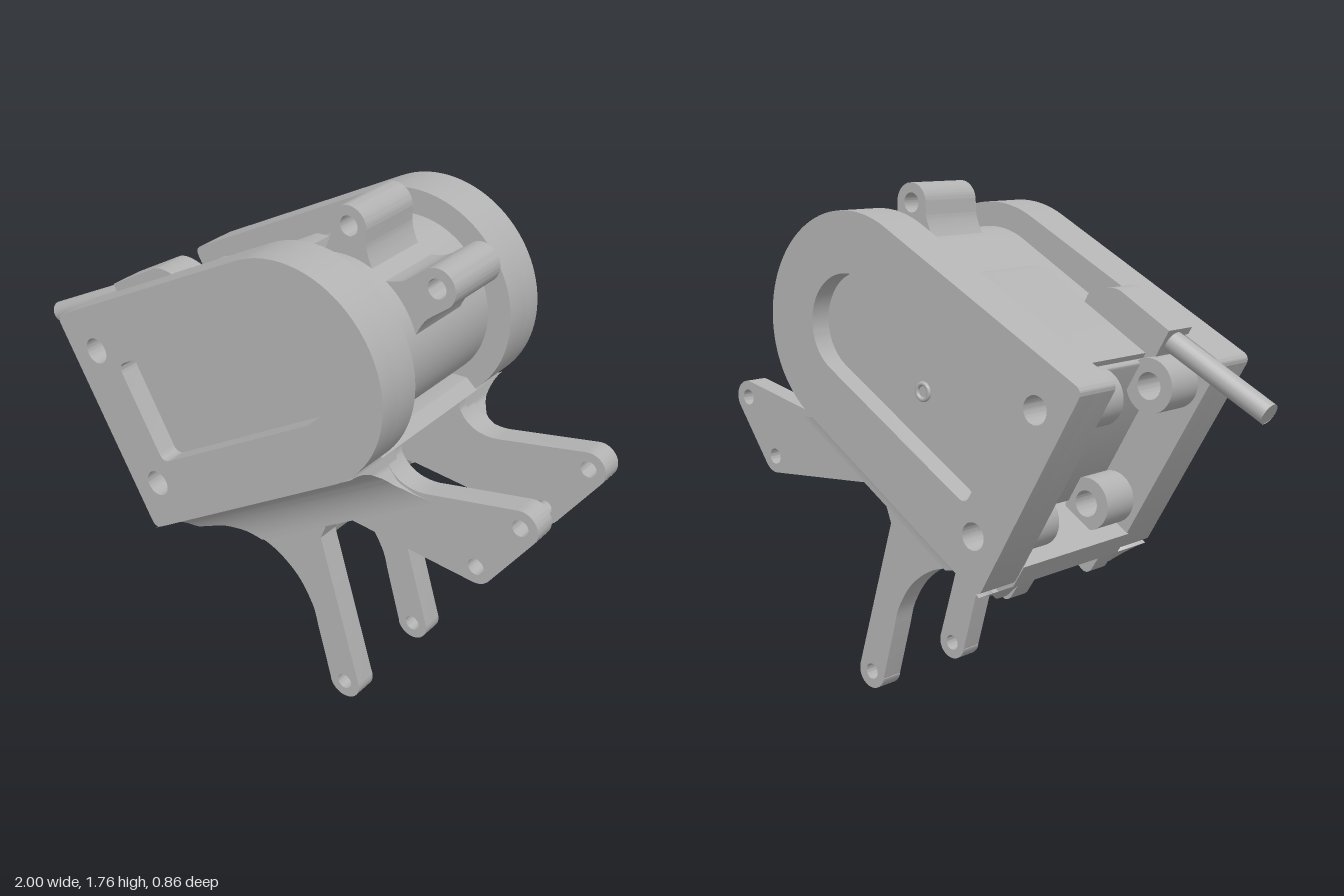
import * as THREE from 'three';
import { toCreasedNormals } from 'three/addons/utils/BufferGeometryUtils.js';

const grey = new THREE.MeshStandardMaterial({ color: 0xb4b4b4, side: THREE.DoubleSide });
grey.name = 'metal grey';

const hole = (x, y, r) => new THREE.Path().absarc(x, y, r, 0, Math.PI * 2, true);
const poly = (pts) => new THREE.Shape(pts.map(([x, y]) => new THREE.Vector2(x, y)));

function add(parent, name, geometry) {
  const mesh = new THREE.Mesh(geometry, grey);
  mesh.name = name;
  parent.add(mesh);
  return mesh;
}

// Extrude a shape between two z values
function slab(parent, name, shape, z0, z1) {
  const g = new THREE.ExtrudeGeometry(shape, { depth: z1 - z0, bevelEnabled: false, curveSegments: 24 });
  g.translate(0, 0, z0);
  return add(parent, name, toCreasedNormals(g, 0.5));
}

// Outline with one round end at the origin and a slightly wider square end
function dShape(end, half, r, corner, Type = THREE.Shape) {
  const a = Math.PI / 2 - Math.asin((half - r) / -end);
  const s = new Type();
  s.moveTo(end + corner, -half);
  s.absarc(0, 0, r, -a, a, false);
  s.lineTo(end + corner, half);
  s.quadraticCurveTo(end, half, end, half - corner);
  s.lineTo(end, -half + corner);
  s.quadraticCurveTo(end, -half, end + corner, -half);
  return s;
}

const BOLTS = [[-0.775, 0.246], [-0.775, -0.246]];

function buildBody(body) {
  // Side housings: floor plate plus a frame around the pocket
  for (const side of [1, -1]) {
    const name = side > 0 ? 'frontHousing' : 'backHousing';
    const floor = dShape(-0.89, 0.4, 0.37, 0.03);
    const frame = dShape(-0.89, 0.4, 0.37, 0.03);
    for (const [u, v] of BOLTS) {
      floor.holes.push(hole(u, v, 0.045));
      frame.holes.push(hole(u, v, 0.045));
    }
    frame.holes.push(dShape(-0.7, 0.18, 0.17, 0.035, THREE.Path));
    const z = (a, b) => (side > 0 ? [a, b] : [-b, -a]);
    slab(body, name + 'Floor', floor, ...z(0.267, 0.36));
    slab(body, name + 'Frame', frame, ...z(0.36, 0.432));

    // Bolt bosses between the housings
    for (const [u, v] of BOLTS) {
      const boss = new THREE.Shape().absarc(u, v, 0.09, 0, Math.PI * 2, false);
      boss.holes.push(hole(u, v, 0.045));
      slab(body, 'boltBoss', boss, ...z(0.125, 0.27));
    }
  }

  // Core between the housings, with a raised step on top
  slab(body, 'core', dShape(-0.71, 0.29, 0.285, 0.01), -0.27, 0.27);
  slab(body, 'coreStep', poly([[-0.69, 0.2], [-0.69, 0.31], [-0.2, 0.31], [-0.16, 0.29], [-0.16, 0.2]]), -0.165, 0.165);

  // Small ring in the rear pocket
  const ring = add(body, 'pocketScrew', new THREE.TorusGeometry(0.026, 0.008, 8, 16));
  ring.position.set(-0.33, -0.03, -0.362);

  // Lugs on the round end
  for (const [angle, dist] of [[58, 0.382], [8.3, 0.43]]) {
    const lug = new THREE.Shape();
    lug.moveTo(0.24, -0.11);
    lug.quadraticCurveTo(0.31, -0.066, 0.35, -0.066);
    lug.lineTo(dist, -0.066);
    lug.absarc(dist, 0, 0.066, -Math.PI / 2, Math.PI / 2, false);
    lug.lineTo(0.35, 0.066);
    lug.quadraticCurveTo(0.31, 0.066, 0.24, 0.11);
    lug.holes.push(hole(dist, 0, 0.033));
    slab(body, 'lug', lug, -0.122, 0.122).rotation.z = THREE.MathUtils.degToRad(angle);
  }

  // Cable with its clamp
  const clamp = new THREE.Shape();
  clamp.moveTo(-0.728, 0.2);
  clamp.lineTo(-0.728, 0.423);
  clamp.lineTo(-0.51, 0.423);
  clamp.quadraticCurveTo(-0.46, 0.423, -0.4, 0.34);
  clamp.lineTo(-0.4, 0.2);
  slab(body, 'cableClamp', clamp, 0.16, 0.285);
  const cable = new THREE.LineCurve3(new THREE.Vector3(-1.137, 0.392, 0.218), new THREE.Vector3(-0.68, 0.372, 0.218));
  add(body, 'cable', new THREE.TubeGeometry(cable, 1, 0.037, 20));
  const tip = add(body, 'cableEnd', new THREE.CircleGeometry(0.037, 20));
  tip.position.copy(cable.v1);
  tip.rotation.y = -Math.PI / 2;
}

// Bracket frame: s runs along the underside of the body, d away from it
const START = [-0.375, 0.52], E = [0.848, 0.53], N = [0.53, -0.848];
const onLine = (s, d) => [START[0] + s * E[0] + d * N[0], START[1] + s * E[1] + d * N[1]];

function armShape() {
  const s = new THREE.Shape();
  s.moveTo(...onLine(0, -0.03));
  s.lineTo(-0.345, 0.475);
  s.quadraticCurveTo(-0.32, 0.445, -0.285, 0.485);
  s.splineThru([[-0.2, 0.513], [-0.12, 0.52], [0, 0.493], [0.1, 0.425], [0.165, 0.33], [0.19, 0.25]]
    .map((p) => new THREE.Vector2(...p)));
  s.lineTo(0.247, 0.048);
  s.absarc(0.305, 0.062, 0.061, Math.PI * 1.08, Math.PI * 2.08, false);
  s.lineTo(0.2, 0.62);
  s.lineTo(0.235, 0.71);
  s.quadraticCurveTo(0.25, 0.748, 0.29, 0.745);
  s.lineTo(0.79, 0.705);
  s.quadraticCurveTo(0.825, 0.703, 0.848, 0.735);
  s.lineTo(0.989, 0.931);
  s.absarc(0.94, 0.966, 0.06, -0.62, 1.78, false);
  s.lineTo(0.6, 0.953);
  s.quadraticCurveTo(0.5, 0.94, 0.458, 1.015);
  s.lineTo(...onLine(0.98, 0));
  s.lineTo(...onLine(0.96, -0.03));
  s.holes.push(hole(0.305, 0.062, 0.028), hole(0.94, 0.966, 0.028), hole(0.797, 0.765, 0.028));
  return s;
}

// Piecewise linear lookup
function lookup(table, x) {
  for (let i = 1; i < table.length; i++) {
    const [x0, y0] = table[i - 1], [x1, y1] = table[i];
    if (x <= x1) return y0 + (y1 - y0) * (x - x0) / (x1 - x0);
  }
  return table[table.length - 1][1];
}

// Concave fillet from the housing edge down to the arm plate
function flareGeometry(side) {
  const left = [[0, 0], [0.075, 0.02], [0.096, 0.14], [0.135, 0.21], [0.185, 0.265]];
  const right = [[0, 0.98], [0.04, 0.966], [0.095, 0.975], [0.146, 1.02], [0.186, 1.08]];
  const R = 0.185, rows = 20, pos = [], idx = [];
  for (let j = 0; j <= rows; j++) {
    const t = (j / rows) * Math.PI / 2;
    const d = R * (1 - Math.cos(t)), z = 0.43 - R * Math.sin(t);
    const a = onLine(lookup(left, d), d), b = onLine(lookup(right, d), d);
    // inner left, outer left, outer right, inner right
    pos.push(...a, 0.2 * side, ...a, z * side, ...b, z * side, ...b, 0.2 * side);
    if (!j) continue;
    for (let k = 0; k < 3; k++) {
      const p = (j - 1) * 4 + k, q = p + 4;
      if (side > 0) idx.push(p, q, q + 1, p, q + 1, p + 1);
      else idx.push(p, q + 1, q, p, p + 1, q + 1);
    }
  }
  const g = new THREE.BufferGeometry();
  g.setAttribute('position', new THREE.Float32BufferAttribute(pos, 3));
  g.setIndex(idx);
  return toCreasedNormals(g, 0.6);
}

function buildBracket(bracket) {
  const arm = armShape();
  slab(bracket, 'frontArm', arm, 0.165, 0.245);
  slab(bracket, 'backArm', arm, -0.245, -0.165);
  for (const side of [1, -1]) add(bracket, side > 0 ? 'frontFlare' : 'backFlare', flareGeometry(side));

  // Saddle under the core and the stop block between the arms
  slab(bracket, 'saddle', poly([onLine(0, 0), onLine(0.98, 0), onLine(0.965, -0.05), onLine(0.9, -0.085), onLine(0, -0.085)]), -0.27, 0.27);
  slab(bracket, 'stopBlock', poly([[-0.26, 0.59], [-0.1, 0.58], [0.18, 0.58], [0.205, 0.64], [0.215, 0.85], [0.17, 0.87], [0.1, 0.83]]), -0.166, 0.166);
}

export function createModel() {
  const model = new THREE.Group();
  model.name = 'bracketedHousing';

  const body = new THREE.Group();
  body.name = 'body';
  body.position.set(0.197, 1.313, 0);
  body.rotation.z = Math.PI / 6;
  buildBody(body);

  const bracket = new THREE.Group();
  bracket.name = 'bracket';
  buildBracket(bracket);

  model.add(body, bracket);
  return model;
}
